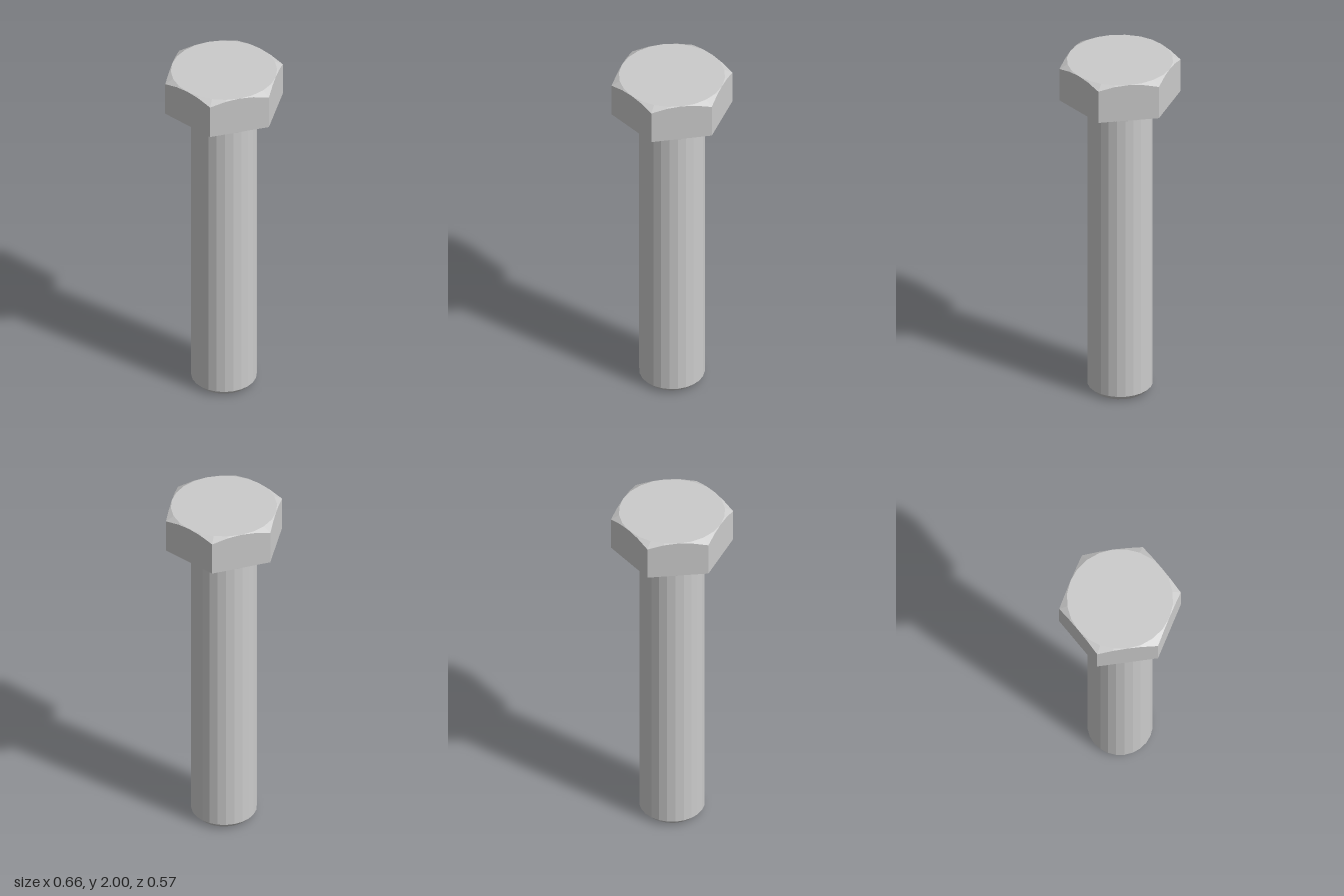
import * as THREE from 'three';

const SIDES = 24;

// Closed solid from rings of points, ordered top to bottom
function loft(rings) {
  const pos = [];
  const tri = (a, b, c) => {
    const area = new THREE.Triangle(a, b, c).getArea();
    if (area > 1e-9) pos.push(...a.toArray(), ...b.toArray(), ...c.toArray());
  };
  for (let r = 0; r < rings.length - 1; r++) {
    for (let i = 0; i < SIDES; i++) {
      const j = (i + 1) % SIDES;
      tri(rings[r][i], rings[r][j], rings[r + 1][j]);
      tri(rings[r][i], rings[r + 1][j], rings[r + 1][i]);
    }
  }
  const geo = new THREE.BufferGeometry();
  geo.setAttribute('position', new THREE.Float32BufferAttribute(pos, 3));
  geo.computeVertexNormals();
  return geo;
}

export function createModel() {
  const group = new THREE.Group();
  group.name = 'hexBolt';
  const steel = new THREE.MeshStandardMaterial({ color: 0xcccccc, flatShading: true });
  const add = (name, geo) => {
    const mesh = new THREE.Mesh(geo, steel);
    mesh.name = name;
    group.add(mesh);
  };

  // Hexagonal head, top corners cut by a 30 degree cone
  const apothem = 0.2865, top = 2, headBottom = 1.783;
  const ring = (radius, height) => Array.from({ length: SIDES }, (_, i) => {
    const a = (i / SIDES) * Math.PI * 2;
    const r = radius(a);
    return new THREE.Vector3(r * Math.cos(a), height(r), r * Math.sin(a));
  });
  const hex = (a) => apothem / Math.cos((a % (Math.PI / 3)) - Math.PI / 6);
  const chamfer = (r) => top - (r - apothem) * Math.tan(Math.PI / 6);
  add('head', loft([
    ring(() => 0, () => top),
    ring(() => apothem, () => top),
    ring(hex, chamfer),
    ring(hex, () => headBottom),
    ring(() => 0, () => headBottom),
  ]));

  // Chamfered shank with a small fillet under the head
  const shankR = 0.177, seat = 1.768, fillet = 0.012;
  const profile = [[0, 0], [0.148, 0], [shankR, 0.03], [shankR, seat - fillet]];
  for (let i = 1; i <= 3; i++) {
    const a = (i / 3) * Math.PI / 2;
    profile.push([shankR + fillet * (1 - Math.cos(a)), seat - fillet * (1 - Math.sin(a))]);
  }
  const lathe = (pts) => new THREE.LatheGeometry(pts.map(([x, y]) => new THREE.Vector2(x, y)), SIDES);
  add('shank', lathe(profile));

  // Washer face between shank and head
  add('washerFace', lathe([[shankR + fillet, seat], [0.27, seat], [0.27, headBottom]]));

  return group;
}
